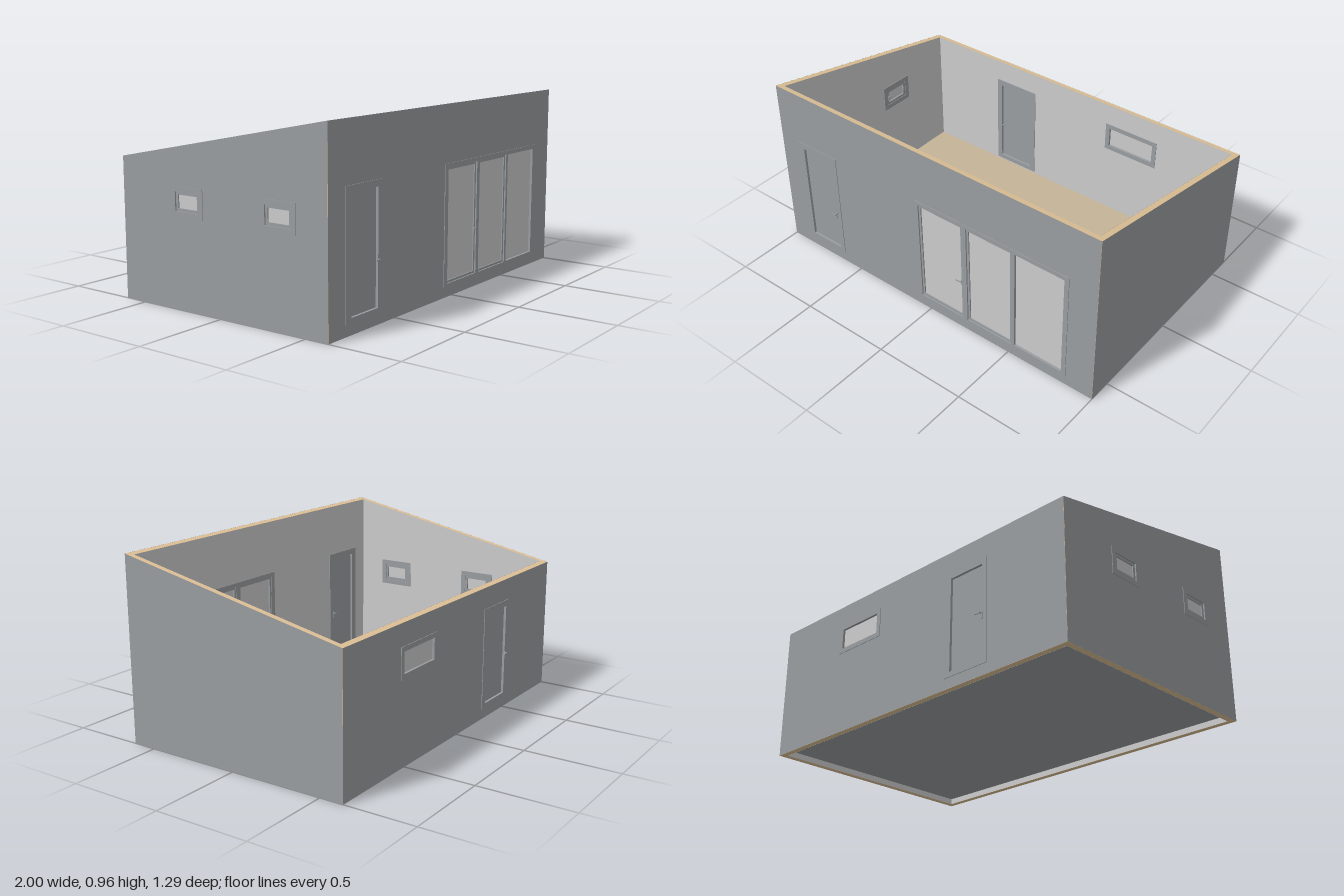
import * as THREE from 'three';

const W = 2, D = 1.25, T = 0.03; // outer width, outer depth, wall thickness
const mat = (color, side = THREE.FrontSide) => new THREE.MeshStandardMaterial({ color, side });
const cladding = mat(0x999da0);
const skinOuter = mat(0x999da0, THREE.DoubleSide);
const skinInner = mat(0xcccccc, THREE.DoubleSide);
const timber = mat(0xe0c297);
const floorTop = mat(0xc4b396);
const glass = mat(0xcccccc);

// Height of the sloping wall top at depth z
const roofY = z => 0.833 + 0.2 * z;

// Rectangles are [left, right, bottom, top]
const grow = ([a, b, c, d], m) => [a - m, b + m, c - m, d + m];

function outline(Type, [a, b, c, d]) {
  const s = new Type();
  s.moveTo(a, c);
  s.lineTo(b, c);
  s.lineTo(b, d);
  s.lineTo(a, d);
  s.closePath();
  return s;
}

function rectShape(rect, holes = []) {
  const s = outline(THREE.Shape, rect);
  s.holes = holes.map(h => outline(THREE.Path, h));
  return s;
}

// Plate with rectangular holes between local depths z0 and z1
function plate(rect, holes, z0, z1) {
  return new THREE.ExtrudeGeometry(rectShape(rect, holes), { depth: z1 - z0, bevelEnabled: false }).translate(0, 0, z0);
}

function add(parent, name, geometry, material) {
  const m = new THREE.Mesh(geometry, material);
  m.name = name;
  parent.add(m);
  return m;
}

// Lever handle; dir is the way the lever points, out is +1 outside, -1 inside
function addHandle(parent, name, x, y, dir, out, face) {
  const g = new THREE.Group();
  g.name = name;
  const box = (w, h, d, px, py, pz) =>
    add(g, name + 'Piece', new THREE.BoxGeometry(w, h, d).translate(px, py, pz), cladding);
  box(0.008, 0.036, 0.003, 0, -0.01, 0.0015);
  box(0.005, 0.005, 0.014, 0, 0, 0.007);
  box(0.032, 0.005, 0.004, dir * 0.0135, 0, 0.014);
  g.position.set(x, y, face);
  g.scale.z = out;
  parent.add(g);
}

// Frame with its sashes, panels and handles, in wall coordinates (z = 0 is the outer face)
function addOpening(parent, { name, frame, panels }) {
  const g = new THREE.Group();
  g.name = name;
  const holes = panels.map(p => grow(p.rect, p.sash ?? 0));
  add(g, 'frame', plate(frame, holes, -T - 0.004, 0.004), cladding);
  for (const p of panels) {
    if (p.sash) add(g, 'sash', plate(grow(p.rect, p.sash), [p.rect], -T - 0.001, -0.003), cladding);
    add(g, p.door ? 'doorLeaf' : 'pane', plate(p.rect, [], -0.021, -0.009), p.door ? cladding : glass);
    if (!p.handle) continue;
    const { x, y, dir, both } = p.handle;
    const inset = p.sash ? 0.003 : -0.004;
    if (both) addHandle(g, 'outerHandle', x, y, dir, 1, -inset);
    addHandle(g, 'innerHandle', x, y, dir, -1, -T + (p.sash ? 0.001 : -0.004));
  }
  parent.add(g);
}

// Wall: timber core, outer cladding and inner lining, cut to the roof slope
function addWall(parent, { name, length, core, dist, angle, openings = [] }) {
  const g = new THREE.Group();
  g.name = name;
  const holes = openings.map(o => grow(o.frame, -0.012));
  const place = geometry => {
    geometry.translate(0, 0, dist).rotateY(angle);
    const p = geometry.attributes.position;
    for (let i = 0; i < p.count; i++) if (p.getY(i) > 0.7) p.setY(i, roofY(p.getZ(i)));
    geometry.computeVertexNormals();
    return geometry;
  };
  const span = l => [-l / 2, l / 2, 0, 1];
  const skin = (l, z) => new THREE.ShapeGeometry(rectShape(span(l), holes)).translate(0, 0, z);
  add(g, 'wallCore', place(plate(span(core), holes, -T, 0)), timber);
  add(g, 'outerCladding', place(skin(length, 0.0008)), skinOuter);
  add(g, 'innerLining', place(skin(length - 2 * T, -T - 0.0008)), skinInner);

  const fittings = new THREE.Group();
  fittings.name = name + 'Fittings';
  fittings.rotation.y = angle;
  fittings.position.set(Math.sin(angle) * dist, 0, Math.cos(angle) * dist);
  openings.forEach(o => addOpening(fittings, o));
  g.add(fittings);
  parent.add(g);
}

export function createModel() {
  const house = new THREE.Group();
  house.name = 'gardenHouse';

  // Front wall: single door and three tall glazed panels
  addWall(house, {
    name: 'frontWall', length: W, core: W, dist: D / 2, angle: 0,
    openings: [
      {
        name: 'frontDoor', frame: [-0.88, -0.61, 0.055, 0.668],
        panels: [{ rect: [-0.84, -0.64, 0.08, 0.635], door: true, handle: { x: -0.642, y: 0.305, dir: -1, both: true } }],
      },
      {
        name: 'glazedDoors', frame: [-0.08, 0.845, 0.055, 0.668],
        panels: [
          { rect: [-0.04, 0.21, 0.08, 0.635], sash: 0.012, handle: { x: 0.213, y: 0.305, dir: -1, both: true } },
          { rect: [0.26, 0.51, 0.08, 0.635], sash: 0.012, handle: { x: 0.513, y: 0.305, dir: 0 } },
          { rect: [0.54, 0.82, 0.07, 0.645] },
        ],
      },
    ],
  });

  // Back wall: door and a wide window (local x runs the other way)
  addWall(house, {
    name: 'backWall', length: W, core: W, dist: D / 2, angle: Math.PI,
    openings: [
      {
        name: 'backDoor', frame: [0.26, 0.53, 0.055, 0.595],
        panels: [{ rect: [0.295, 0.5, 0.08, 0.562], door: true, handle: { x: 0.502, y: 0.305, dir: -1, both: true } }],
      },
      {
        name: 'backWindow', frame: [-0.54, -0.22, 0.437, 0.595],
        panels: [{ rect: [-0.515, -0.245, 0.462, 0.57] }],
      },
    ],
  });

  // Side walls: two small windows on one side, the other side plain
  addWall(house, {
    name: 'rightWall', length: D, core: D - 2 * T, dist: W / 2, angle: -Math.PI / 2,
    openings: [-0.2, 0.35].map(z => ({
      name: 'sideWindow', frame: [z - 0.1, z + 0.1, 0.45, 0.595],
      panels: [{ rect: [z - 0.06, z + 0.06, 0.49, 0.555], sash: 0.014, handle: { x: z + 0.066, y: 0.53, dir: 0 } }],
    })),
  });
  addWall(house, { name: 'leftWall', length: D, core: D - 2 * T, dist: W / 2, angle: Math.PI / 2 });

  // Floor slab between the walls, raised above the wall feet
  const slab = (name, y, h, m) =>
    add(house, name, new THREE.BoxGeometry(W - 2 * T, h, D - 2 * T).translate(0, y + h / 2, 0), m);
  slab('floorBase', 0.03, 0.008, cladding);
  slab('floorBoards', 0.038, 0.007, floorTop);

  return house;
}
